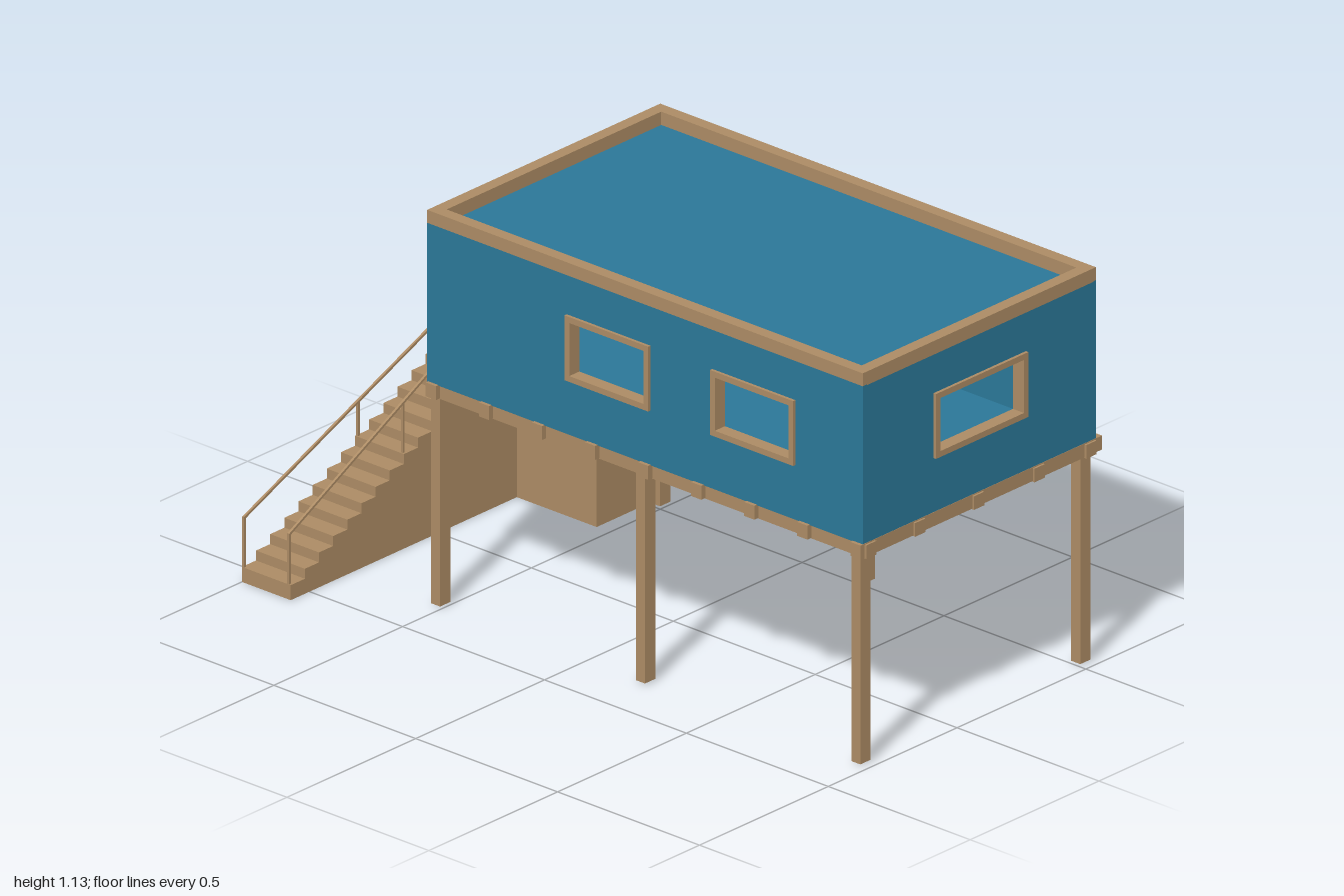
import * as THREE from 'three';

export function createModel() {
  const model = new THREE.Group();
  const blue = new THREE.MeshStandardMaterial({ color: 0x2b7797 });
  blue.name = 'blue paint';
  const wood = new THREE.MeshStandardMaterial({ color: 0xac8b64 });
  wood.name = 'tan wood';

  const X0 = -0.545, X1 = 0.99, Z0 = -0.55, Z1 = 0.355; // house footprint
  const T = 0.03; // wall thickness

  function add(name, geometry, material, parent = model) {
    const mesh = new THREE.Mesh(geometry, material);
    mesh.name = name;
    parent.add(mesh);
    return mesh;
  }
  function group(name) {
    const g = new THREE.Group();
    g.name = name;
    model.add(g);
    return g;
  }
  // Box given by its two extreme corners
  function box(name, x0, x1, y0, y1, z0, z1, material, parent) {
    const mesh = add(name, new THREE.BoxGeometry(x1 - x0, y1 - y0, z1 - z0), material, parent);
    mesh.position.set((x0 + x1) / 2, (y0 + y1) / 2, (z0 + z1) / 2);
    return mesh;
  }
  const poly = (pts) => new THREE.Shape(pts.map(([x, y]) => new THREE.Vector2(x, y)));
  const rect = (u0, u1, v0, v1) => poly([[u0, v0], [u1, v0], [u1, v1], [u0, v1]]);
  const extrude = (shape, depth) => new THREE.ExtrudeGeometry(shape, { depth, bevelEnabled: false });
  // Upright panel, from a to b along z, or along x when side is set
  function panel(name, shape, a, b, side, material, parent) {
    const geometry = extrude(shape, b - a);
    if (side) geometry.rotateY(-Math.PI / 2).translate(b, 0, 0);
    else geometry.translate(0, 0, a);
    return add(name, geometry, material, parent);
  }

  // Walls with window openings and projecting frames
  const house = group('house');
  const F = 0.017; // frame width
  function wall(name, u0, u1, a, b, side, outward, windows, doorway) {
    const shape = rect(u0, u1, 0.64, 1.095);
    const fa = outward < 0 ? a - 0.009 : a;
    const fb = outward > 0 ? b + 0.009 : b;
    for (const [w0, w1] of windows) {
      shape.holes.push(rect(w0 + F / 2, w1 - F / 2, 0.797 + F / 2, 0.983 - F / 2));
      const frame = rect(w0, w1, 0.797, 0.983);
      frame.holes.push(rect(w0 + F, w1 - F, 0.797 + F, 0.983 - F));
      panel('windowFrame', frame, fa, fb, side, wood, house);
    }
    if (doorway) {
      const [d0, d1, top] = doorway;
      shape.holes.push(rect(d0 + F / 2, d1 - F / 2, 0.655, top - F / 2));
      panel('doorFrame', poly([[d0, 0.645], [d0 + F, 0.645], [d0 + F, top - F], [d1 - F, top - F],
        [d1 - F, 0.645], [d1, 0.645], [d1, top], [d0, top]]), fa, fb, side, wood, house);
    }
    panel(name, shape, a, b, side, blue, house);
  }
  wall('frontWall', X0, X1, Z1 - T, Z1, false, 1, [[-0.053, 0.242], [0.46, 0.753]]);
  wall('backWall', X0, X1, Z0, Z0 + T, false, -1, [[-0.305, -0.01], [0.205, 0.495]]);
  wall('leftWall', Z0 + T, Z1 - T, X1 - T, X1, true, 1, [[-0.278, 0.08]]);
  wall('rightWall', Z0 + T, Z1 - T, X0, X0 + T, true, -1, [], [-0.525, -0.3, 1.01]);
  box('floor', X0 + T, X1 - T, 0.64, 0.655, Z0 + T, Z1 - T, blue, house);
  box('roof', X0 + T, X1 - T, 1.075, 1.094, Z0 + T, Z1 - T, blue, house);

  // Wooden rim round the roof
  const R = 0.036;
  const rim = rect(X0, X1, -Z1, -Z0);
  rim.holes.push(rect(X0 + R, X1 - R, -Z1 + R, -Z0 - R));
  add('roofRim', extrude(rim, 0.039).rotateX(-Math.PI / 2).translate(0, 1.093, 0), wood);

  // Crossed floor beams
  const beams = group('floorBeams');
  for (let i = 0; i < 9; i++) {
    const x = -0.523 + i * 0.187;
    box('crossBeam', x - 0.018, x + 0.018, 0.602, 0.642, -0.573, 0.365, wood, beams);
  }
  for (const z of [0.329, 0.139, -0.089, -0.324, -0.525]) {
    box('longBeam', -0.55, 0.997, 0.6, 0.639, z - 0.02, z + 0.02, wood, beams);
  }

  // Posts
  for (const x of [-0.521, 0.201, 0.96]) {
    for (const z of [0.329, -0.525]) {
      box('post', x - 0.016, x + 0.016, 0.005, 0.602, z - 0.02, z + 0.02, wood);
    }
  }

  // Solid staircase: stepped profile down to the ground
  function steps(start, run, base, rise, count) {
    const pts = [[start, 0]];
    for (let i = 0; i < count; i++) {
      const y = base + i * rise;
      pts.push([start + i * run, y], [start + (i + 1) * run, y]);
    }
    pts.push([start + count * run, 0]);
    if (run < 0) pts.reverse();
    return poly(pts);
  }
  const stairs = group('stairs');
  panel('lowerFlight', steps(0.573, -0.0549, 0.043, 0.0285, 16), -1, -0.828, true, wood, stairs);
  box('landing', -1, -0.826, 0, 0.497, -0.525, -0.305, wood, stairs);
  panel('upperFlight', steps(-0.826, 0.0465, 0.525, 0.028, 6), -0.525, -0.305, false, wood, stairs);

  // Railings: thin square rods
  const railings = group('railings');
  function rod(name, a, b) {
    const p = new THREE.Vector3(...a), q = new THREE.Vector3(...b);
    const mesh = add(name, new THREE.BoxGeometry(0.007, 0.007, p.distanceTo(q)), wood, railings);
    mesh.position.copy(p).add(q).multiplyScalar(0.5);
    mesh.lookAt(q);
  }
  for (const [x, zTurn, midTop] of [[-0.996, -0.522, 0.369], [-0.838, -0.31, 0.416]]) {
    rod('lowerRail', [x, 0.185, 0.569], [x, 0.64, zTurn]);
    rod('upperRail', [x, 0.64, zTurn], [-0.546, 0.775, zTurn]);
    rod('railPost', [x, 0.04, 0.569], [x, 0.188, 0.569]);
    rod('railPost', [x, 0.26, 0.127], [x, midTop, 0.127]);
    rod('railPost', [x, 0.46, zTurn], [x, 0.643, zTurn]);
  }

  return model;
}
